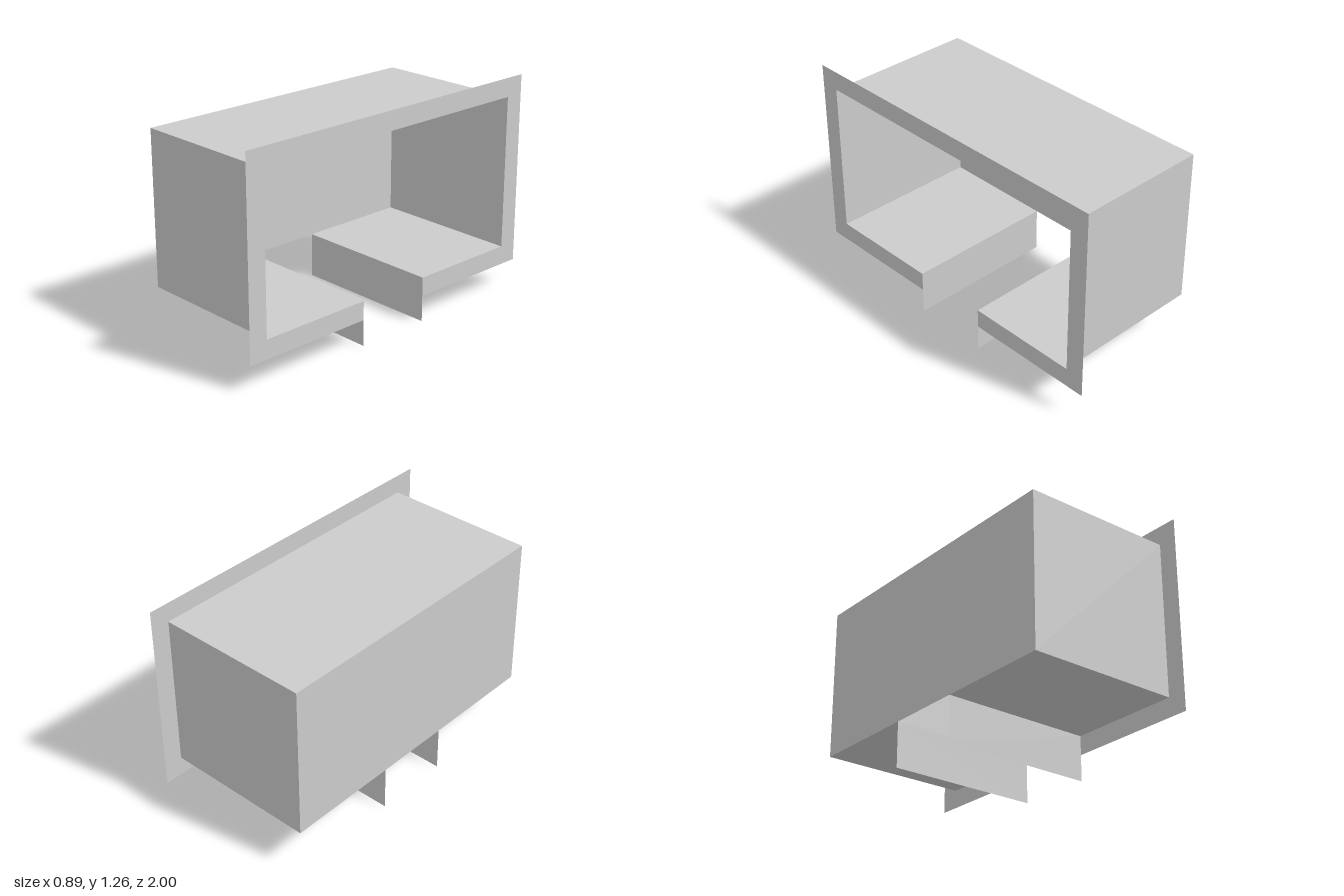
import * as THREE from 'three';

const HALF_X = 0.445, HALF_Z = 0.89;   // housing half depth and half length
const FLOOR = 0.26, ROOF = 1.15;
const RIM = 0.11;                      // flange width
const SLOT = [0.22, -0.23];            // z of the two slot edges in the floor

const material = new THREE.MeshStandardMaterial({
  color: 0xcccccc, side: THREE.DoubleSide, flatShading: true,
});

export function createModel() {
  const group = new THREE.Group();

  function add(name, geometry) {
    const mesh = new THREE.Mesh(geometry, material);
    mesh.name = name;
    group.add(mesh);
    return mesh;
  }

  // Thin sheet spanning the full depth in x, facing up
  function level(name, y, z0, z1) {
    const g = new THREE.PlaneGeometry(2 * HALF_X, Math.abs(z1 - z0)).rotateX(-Math.PI / 2);
    add(name, g).position.set(0, y, (z0 + z1) / 2);
  }

  // Thin upright sheet spanning the full depth in x, facing along z
  function upright(name, z, y0, y1, facing) {
    const g = new THREE.PlaneGeometry(2 * HALF_X, y1 - y0);
    if (facing < 0) g.rotateY(Math.PI);
    add(name, g).position.set(0, (y0 + y1) / 2, z);
  }

  // Roof and closed back wall of the housing
  level('roof', ROOF, -HALF_Z, HALF_Z);
  const back = new THREE.PlaneGeometry(2 * HALF_Z, ROOF - FLOOR).rotateY(-Math.PI / 2);
  add('backWall', back).position.set(-HALF_X, (ROOF + FLOOR) / 2, 0);

  // End walls, floor halves beside the slot, and the tabs hanging from its edges
  [1, -1].forEach((s, i) => {
    const side = s > 0 ? 'left' : 'right';
    upright(side + 'EndWall', s * HALF_Z, FLOOR, ROOF, s);
    level(side + 'Floor', FLOOR, SLOT[i], s * HALF_Z);
    upright(side + 'Tab', SLOT[i], 0, FLOOR, s);
  });

  // Flat flange around the open side, interrupted at the slot (drawn with x = -z)
  const outer = HALF_Z + RIM, low = FLOOR - RIM, high = ROOF + RIM;
  const outline = [
    [-SLOT[1], low], [outer, low], [outer, high], [-outer, high], [-outer, low],
    [-SLOT[0], low], [-SLOT[0], FLOOR], [-HALF_Z, FLOOR], [-HALF_Z, ROOF],
    [HALF_Z, ROOF], [HALF_Z, FLOOR], [-SLOT[1], FLOOR],
  ].map(([x, y]) => new THREE.Vector2(x, y));
  const flange = new THREE.ShapeGeometry(new THREE.Shape(outline)).rotateY(Math.PI / 2);
  add('flange', flange).position.x = HALF_X;

  return group;
}
